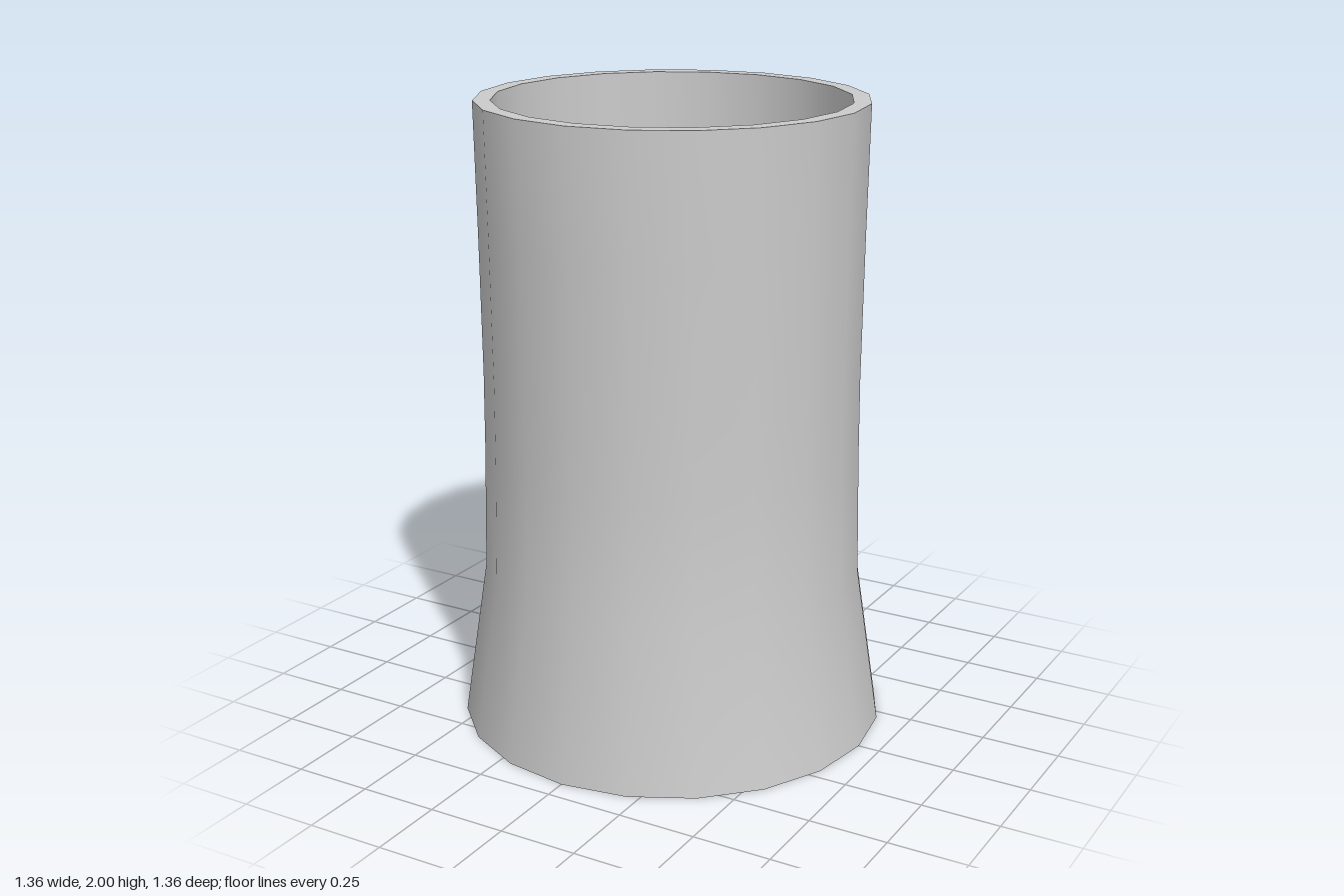
import * as THREE from 'three';
import { toCreasedNormals } from 'three/addons/utils/BufferGeometryUtils.js';

export function createModel() {
  const model = new THREE.Group();
  model.name = 'cup';

  // Closed cross-section: base, flared foot, slightly waisted wall, rim, straight bore, floor
  const profile = [
    [0, 0], [0.68, 0],
    [0.603, 0.51], [0.595, 0.9], [0.593, 1.15], [0.597, 1.6], [0.603, 2],
    [0.55, 2], [0.55, 0.05], [0, 0.05],
  ].map(([r, y]) => new THREE.Vector2(r, y));

  // 20-sided turned body, smooth around the wall and sharp at rim and base
  const geometry = toCreasedNormals(new THREE.LatheGeometry(profile, 20), Math.PI / 6);
  const body = new THREE.Mesh(geometry, new THREE.MeshStandardMaterial({ color: 0xcccccc }));
  body.name = 'hollowBody';
  model.add(body);

  return model;
}
